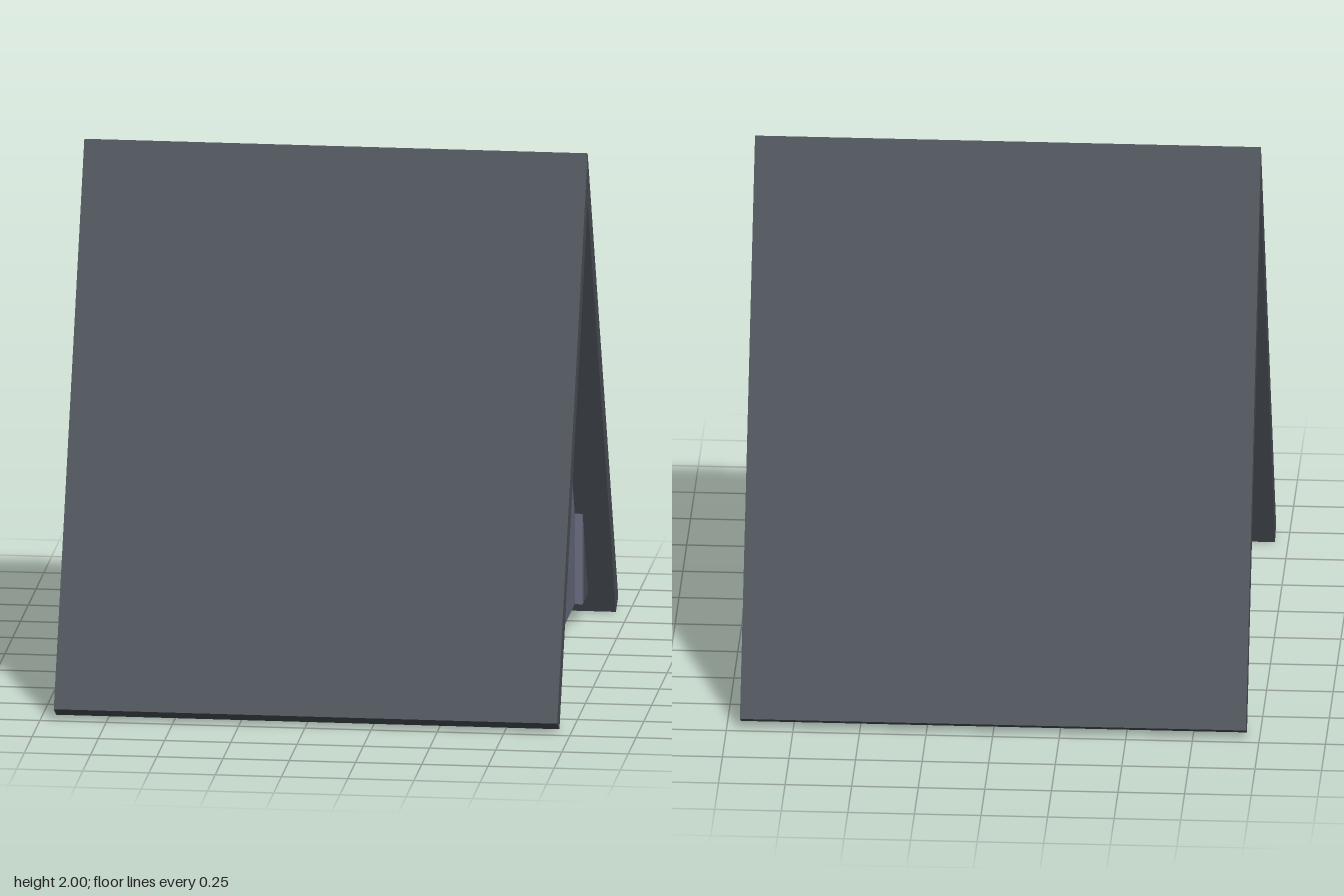
import * as THREE from 'three';

const roofMat = new THREE.MeshStandardMaterial({ color: 0x50555c });
roofMat.name = 'slate grey';
const wallMat = new THREE.MeshStandardMaterial({ color: 0x6b6f84 });
wallMat.name = 'blue grey';

// Extrudes a (z, y) profile along x, centred on x = 0
function prism(name, points, width, material) {
  const shape = new THREE.Shape(points.map(([z, y]) => new THREE.Vector2(-z, y)));
  const geometry = new THREE.ExtrudeGeometry(shape, { depth: width, bevelEnabled: false });
  geometry.translate(0, 0, -width / 2);
  geometry.rotateY(Math.PI / 2);
  const mesh = new THREE.Mesh(geometry, material);
  mesh.name = name;
  return mesh;
}

export function createModel() {
  const group = new THREE.Group();
  group.name = 'aFrameHut';

  const apex = 1.81;                       // underside of the ridge
  const floorY = 0.08;
  const under = (z) => apex - 2 * z;       // underside of the roof slope
  const floorZ = (apex - floorY) / 2;

  // Steep roof with square-cut eaves
  group.add(prism('roof', [
    [0, 2], [0.98, 0.04], [0.905, 0], [0, apex], [-0.905, 0], [-0.98, 0.04],
  ], 1.9, roofMat));

  // Gable walls and floor
  group.add(prism('house', [
    [0, apex], [floorZ, floorY], [-floorZ, floorY],
  ], 1.64, wallMat));

  // Low side walls and eave fillers, standing proud of the gables
  for (const s of [1, -1]) {
    for (const x of [1, -1]) {
      const sideWall = prism('sideWallEnd', [
        [s * 0.69, floorY], [s * 0.72, floorY], [s * 0.72, under(0.72)], [s * 0.69, under(0.69)],
      ], 0.04, wallMat);
      const filler = prism('eaveFiller', [
        [s * 0.72, floorY], [s * floorZ, floorY], [s * 0.72, under(0.72)],
      ], 0.04, roofMat);
      sideWall.position.x = filler.position.x = x * 0.83;
      group.add(sideWall, filler);
    }
  }
  return group;
}
